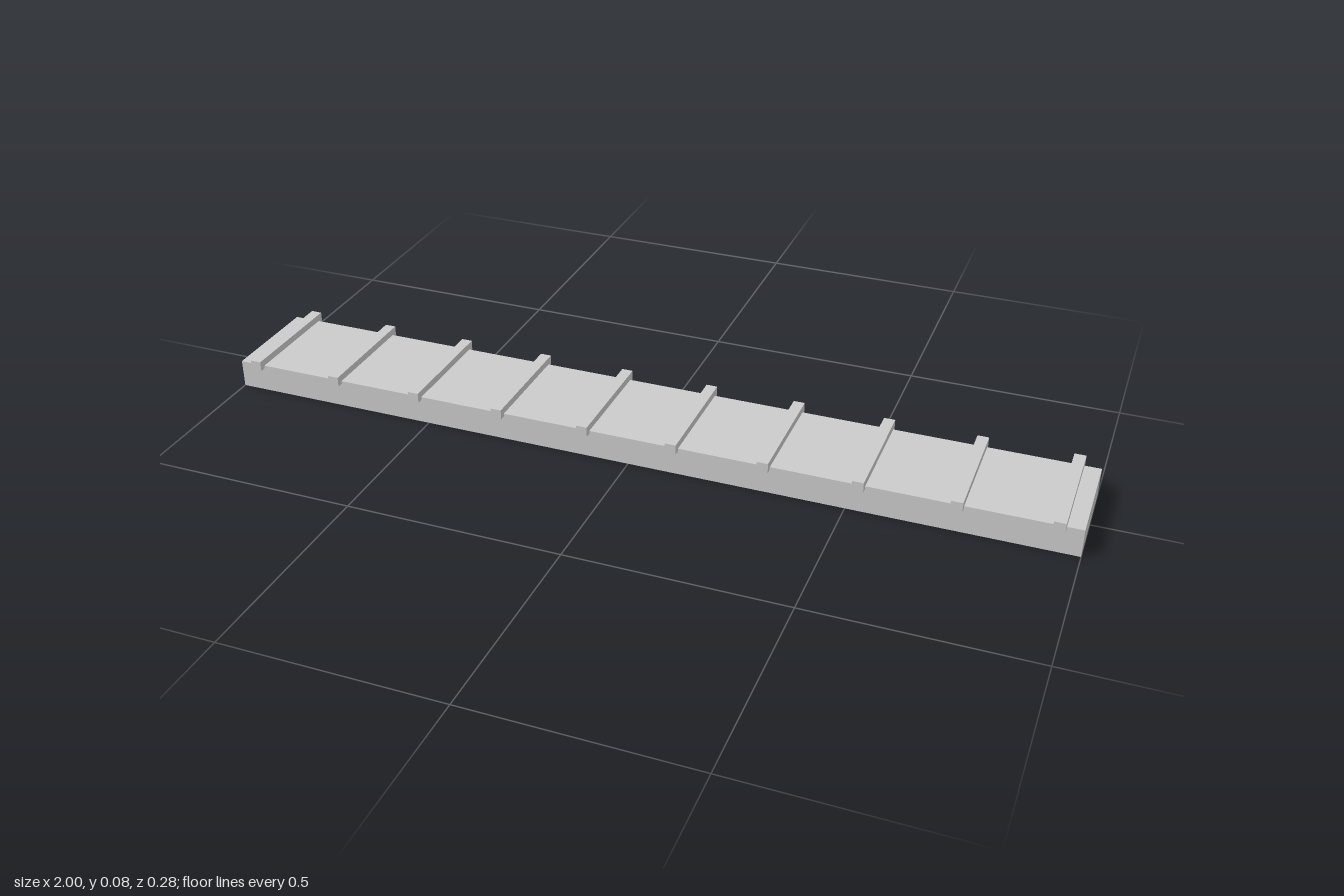
import * as THREE from 'three';

export function createModel() {
  const model = new THREE.Group();
  const material = new THREE.MeshStandardMaterial({ color: 0xcccccc, flatShading: true });

  // Adds a box resting at height bottom, centred on z
  function addBox(name, width, height, depth, x, bottom) {
    const mesh = new THREE.Mesh(new THREE.BoxGeometry(width, height, depth), material);
    mesh.name = name;
    mesh.position.set(x, bottom + height / 2, 0);
    model.add(mesh);
  }

  // Long flat plank
  addBox('plank', 2, 0.066, 0.25, 0, 0);

  // Evenly spaced cross slats, sunk slightly into the plank and overhanging its sides
  const count = 10;
  const reach = 0.95;
  for (let i = 0; i < count; i++) {
    const x = -reach + (2 * reach * i) / (count - 1);
    addBox(`crossSlat${i + 1}`, 0.026, 0.0235, 0.28, x, 0.059);
  }

  return model;
}
